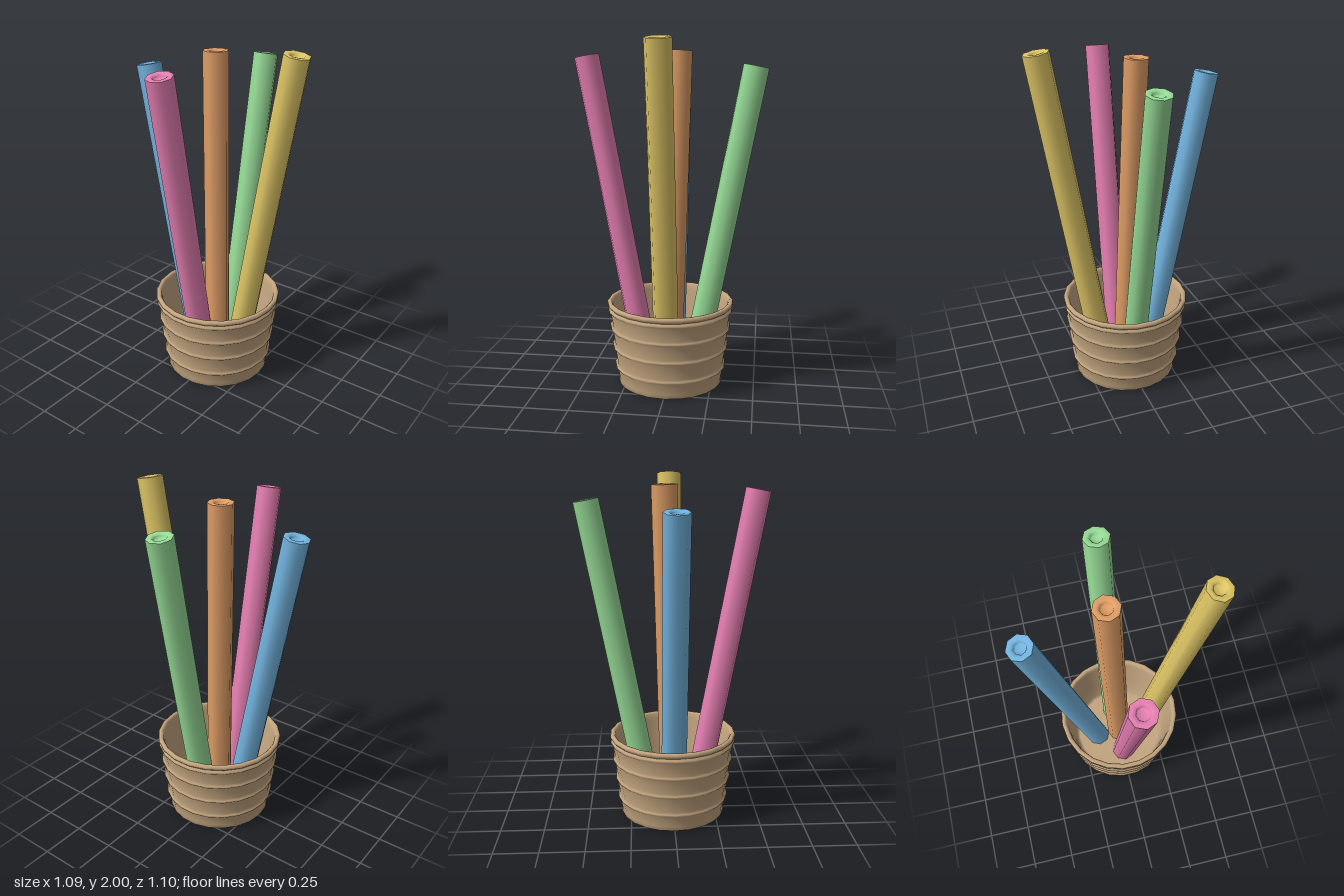
import * as THREE from 'three';

const mat = (name, color) => {
  const m = new THREE.MeshStandardMaterial({ color });
  m.name = name;
  return m;
};

const lathe = (points, sides) =>
  new THREE.LatheGeometry(points.map(([r, y]) => new THREE.Vector2(r, y)), sides);

const STICK_RADIUS = 0.072;

// Basket: closed foot, tapered wall with raised bands, rolled rim, hollow inside
function createBasket(material) {
  const wall = (y) => 0.308 + 0.115 * y;
  const profile = [[0, 0], [0.295, 0], [0.308, 0.006], [0.306, 0.03]];
  for (const y of [0.11, 0.23, 0.345, 0.455]) {
    profile.push(
      [wall(y) - 0.002, y - 0.018],
      [wall(y) + 0.008, y - 0.008],
      [wall(y) + 0.008, y + 0.004],
      [wall(y) - 0.004, y + 0.012],
    );
  }
  profile.push(
    [0.362, 0.47], [0.371, 0.48], [0.371, 0.492], [0.363, 0.5], [0.35, 0.5], [0.342, 0.49],
    [0.336, 0.46], [0.31, 0.25], [0.29, 0.12], [0.27, 0.1], [0, 0.1],
  );
  const basket = new THREE.Mesh(lathe(profile, 22), material);
  basket.name = 'basket';
  return basket;
}

// Stick: eight-sided rod with a dimpled end, running from its foot to its tip
function createStick(name, foot, tip, material) {
  const from = new THREE.Vector3(...foot);
  const axis = new THREE.Vector3(...tip).sub(from);
  const length = axis.length();
  const r = STICK_RADIUS;
  const stick = new THREE.Group();
  stick.name = name;

  const shaft = new THREE.Mesh(lathe([[r, 0], [r, length]], 8), material);
  shaft.name = 'shaft';

  const endProfile = [[r, 0], [0.055, 0.002], [0.042, 0], [0.034, -0.008], [0.03, -0.022], [0, -0.024]];
  const end = new THREE.Mesh(lathe(endProfile, 8), material);
  end.name = 'dimpledEnd';
  end.position.y = length;

  const base = new THREE.Mesh(lathe([[0, 0], [r, 0]], 8), material);
  base.name = 'footCap';

  stick.add(shaft, end, base);
  stick.position.copy(from);
  stick.quaternion.setFromUnitVectors(new THREE.Vector3(0, 1, 0), axis.normalize());
  return stick;
}

export function createModel() {
  const model = new THREE.Group();
  model.name = 'basketOfSticks';
  model.add(createBasket(mat('tan', 0xc4a680)));

  const sticks = [
    ['pinkStick', [-0.14, 0.08, 0], [-0.475, 1.906, 0], mat('pink', 0xe67fb2)],
    ['greenStick', [0.14, 0.08, 0], [0.477, 1.85, 0], mat('green', 0x97dc97)],
    ['yellowStick', [0, 0.08, 0.14], [0, 1.985, 0.477], mat('yellow', 0xe0c766)],
    ['blueStick', [0, 0.08, -0.14], [0, 1.815, -0.477], mat('blue', 0x73b4e0)],
    ['orangeStick', [0, 0.08, 0], [0.048, 1.935, -0.046], mat('orange', 0xe09e66)],
  ];
  for (const s of sticks) model.add(createStick(...s));
  return model;
}
